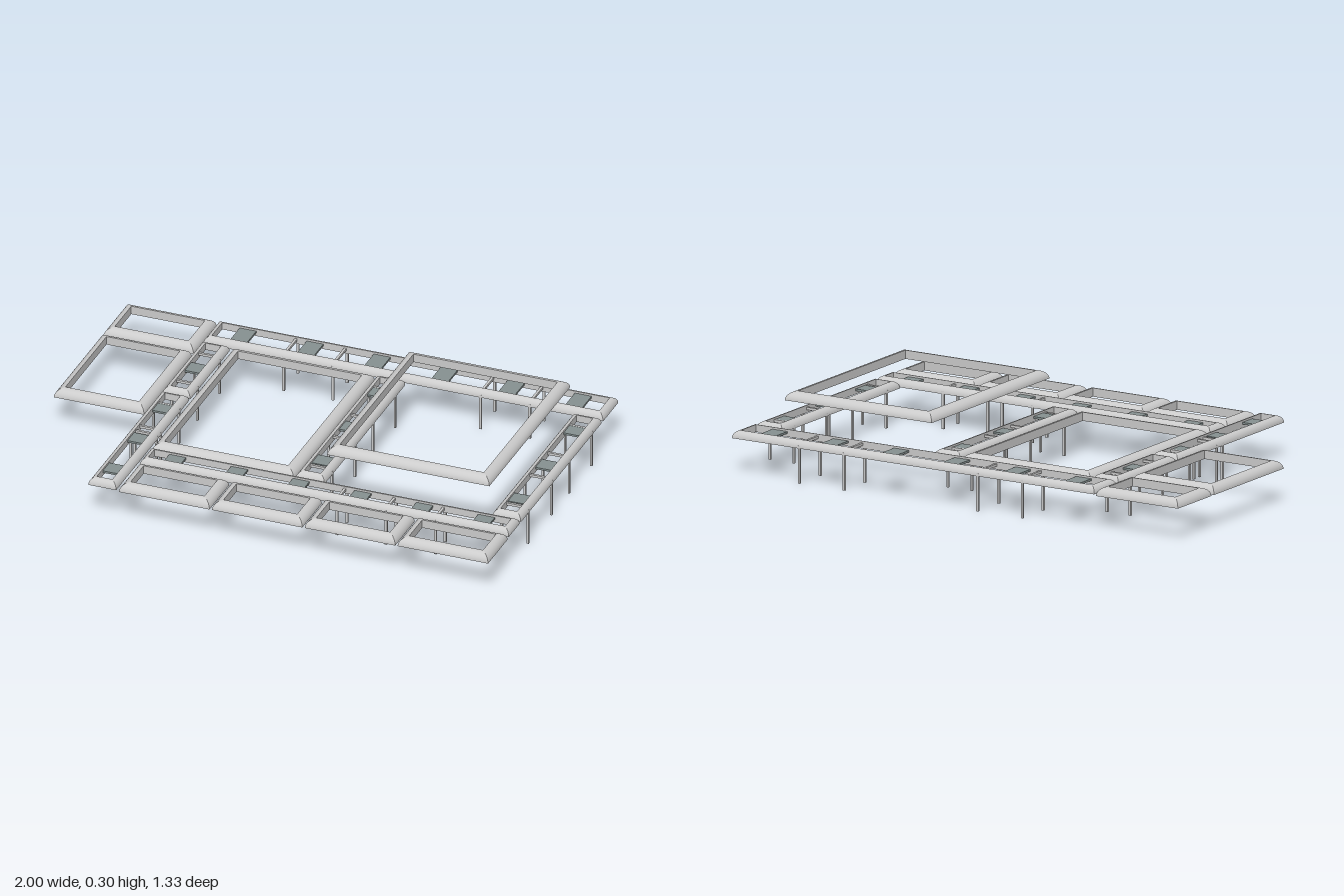
import * as THREE from 'three';

const frameGrey = new THREE.MeshStandardMaterial({ color: 0xcccccc, side: THREE.DoubleSide });
frameGrey.name = 'frame grey';
const plateGrey = new THREE.MeshStandardMaterial({ color: 0x879292 });
plateGrey.name = 'plate grey';

// Sweeps a profile of [inset, y] points round a rectangle, with mitred corners
function sweep(x0, x1, z0, z1, profile) {
  const pos = [], idx = [];
  const corners = (d) => [[x0 + d, z1 - d], [x1 - d, z1 - d], [x1 - d, z0 + d], [x0 + d, z0 + d]];
  for (let s = 0; s < 4; s++) {
    const base = pos.length / 3;
    profile.forEach(([d, y], k) => {
      const c = corners(d), a = c[s], b = c[(s + 1) % 4];
      pos.push(a[0], y, a[1], b[0], y, b[1]);
      if (k) {
        const p = base + 2 * (k - 1);
        idx.push(p, p + 1, p + 3, p, p + 3, p + 2);
      }
    });
  }
  const g = new THREE.BufferGeometry();
  g.setAttribute('position', new THREE.Float32BufferAttribute(pos, 3));
  g.setIndex(idx);
  g.computeVertexNormals();
  return g;
}

// Rectangular rim: quarter-round outside, upright inner wall, flat underside
function frame(name, [x0, x1, z0, z1], y0, y1, width) {
  const group = new THREE.Group();
  group.name = name;
  const curve = [];
  for (let i = 0; i <= 8; i++) {
    const a = (i / 8) * Math.PI / 2;
    curve.push([width * (1 - Math.cos(a)), y0 + (y1 - y0) * Math.sin(a)]);
  }
  const parts = {
    RoundedRim: curve,
    InnerWall: [[width, y1], [width, y0]],
    Underside: [[width, y0], [0, y0]],
  };
  for (const [part, profile] of Object.entries(parts)) {
    const m = new THREE.Mesh(sweep(x0, x1, z0, z1, profile), frameGrey);
    m.name = name + part;
    group.add(m);
  }
  return group;
}

function box(name, w, h, d, x, y, z, material) {
  const m = new THREE.Mesh(new THREE.BoxGeometry(w, h, d), material);
  m.name = name;
  m.position.set(x, y, z);
  return m;
}

// Narrow frame with square plates and two-legged supports along its length
function strip(name, rect, plates, supports) {
  const [x0, x1, z0, z1] = rect;
  const alongX = x1 - x0 > z1 - z0;
  const [lo, hi] = alongX ? [z0, z1] : [x0, x1];
  const width = 0.025, span = hi - lo;
  const group = frame(name, rect, 0.137, 0.166, width);
  const add = (part, length, h, across, at, y, side, mat) => group.add(alongX
    ? box(part, length, h, across, at, y, side, mat)
    : box(part, across, h, length, side, y, at, mat));
  for (const p of plates) {
    add('plate', 0.068, 0.008, span - 2 * width, p, 0.154, (lo + hi) / 2, plateGrey);
  }
  for (const s of supports) {
    add('crossBar', 0.01, 0.01, span - 0.02, s, 0.154, (lo + hi) / 2, frameGrey);
    for (const side of [lo + 0.005, hi - 0.005]) {
      add('leg', 0.01, 0.147, 0.008, s, 0.0735, side, frameGrey);
    }
  }
  return group;
}

export function createModel() {
  const model = new THREE.Group();
  model.name = 'framedPlatform';

  // Side panels
  model.add(frame('sidePanelBack', [-1, -0.633, -0.665, -0.43], 0.132, 0.166, 0.034));
  model.add(frame('sidePanelFront', [-1, -0.633, -0.412, 0.075], 0.132, 0.166, 0.034));

  // Row of front panels
  for (let i = 0; i < 4; i++) {
    const x = -0.5 + i * 0.3775;
    model.add(frame('frontPanel', [x, x + 0.3675, 0.465, 0.665], 0.132, 0.166, 0.034));
  }

  // Large frames, one of them raised
  model.add(frame('largeFrame', [-0.5, 0.077, -0.495, 0.33], 0.132, 0.166, 0.037));
  model.add(frame('raisedFrame', [0.213, 0.872, -0.495, 0.33], 0.266, 0.3, 0.037));

  // Supported strips between the panels
  const run = (start, step, n) => Array.from({ length: n }, (_, i) => start + i * step);
  model.add(strip('backStrip', [-0.625, 1, -0.665, -0.51],
    run(-0.495, 0.2725, 6), [-0.3, -0.1, 0.5, 0.7]));
  model.add(strip('frontStrip', [-0.5, 1, 0.342, 0.453],
    run(-0.38, 0.251, 6), [0.3, 0.5, 0.7]));
  model.add(strip('rightStripBack', [-0.625, -0.512, -0.495, -0.092],
    [-0.292], [-0.405, -0.18]));
  model.add(strip('rightStripFront', [-0.625, -0.512, -0.08, 0.665],
    [0.04, 0.293, 0.545], [0.01, 0.2, 0.24]));
  for (const [name, x] of [['middleStrip', 0.085], ['leftStrip', 0.883]]) {
    model.add(strip(name, [x, x + 0.117, -0.495, 0.33],
      [-0.372, -0.085, 0.195], [-0.405, -0.177, 0.005, 0.242]));
  }
  return model;
}
